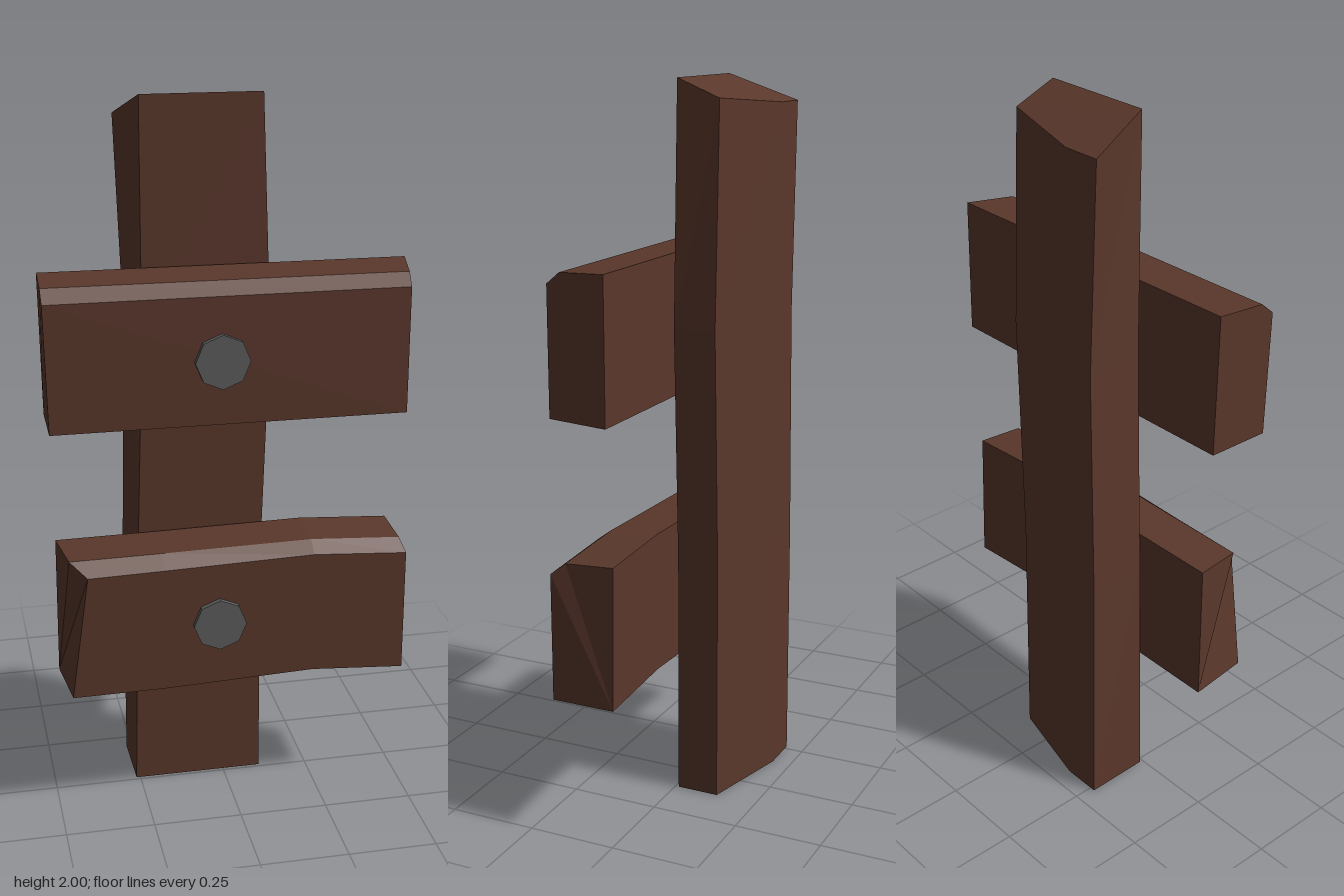
import * as THREE from 'three';

const wood = new THREE.MeshStandardMaterial({ color: 0x5a372b, flatShading: true });
const iron = new THREE.MeshStandardMaterial({ color: 0x5c5c5c, flatShading: true });

// Solid timber through equal-sized rings, each counter-clockwise seen from the far end
function timber(name, rings) {
  const n = rings[0].length;
  const index = [];
  for (let i = 0; i < rings.length - 1; i++) {
    for (let j = 0; j < n; j++) {
      const a = i * n + j, b = i * n + (j + 1) % n;
      index.push(a, b, b + n, a, b + n, a + n);
    }
  }
  const last = (rings.length - 1) * n;
  for (let j = 1; j < n - 1; j++) {
    index.push(0, j + 1, j, last, last + j, last + j + 1);
  }
  const indexed = new THREE.BufferGeometry();
  indexed.setAttribute('position', new THREE.Float32BufferAttribute(rings.flat(2), 3));
  indexed.setIndex(index);
  const geometry = indexed.toNonIndexed();
  geometry.computeVertexNormals();
  const mesh = new THREE.Mesh(geometry, wood);
  mesh.name = name;
  return mesh;
}

// Post ring: front left and right x, back right x, ridge x, back left x; drop slopes the top
function postRing(y, [fl, fr, br, ridge, bl], drop = 0) {
  return [
    [fl, y, -0.01], [fr, y, -0.01], [br, y - drop * 0.7, -0.13],
    [ridge, y - drop, -0.195], [bl, y - drop, -0.195],
  ];
}

// Plank ring from the five x, y, z corners: back bottom, back top, chamfer top, chamfer foot, front bottom
function plankRing(xs, bottom, top, foot) {
  return [
    [xs[0], bottom, 0], [xs[1], top, 0], [xs[2], top - 0.008, 0.14],
    [xs[3], foot, 0.18], [xs[4], bottom, 0.18],
  ];
}

export function createModel() {
  const group = new THREE.Group();
  group.name = 'signpost';

  // Slightly crooked upright
  group.add(timber('post', [
    postRing(0, [-0.262, 0.11, 0.11, -0.155, -0.265]),
    postRing(0.7, [-0.245, 0.11, 0.11, -0.155, -0.262]),
    postRing(1.35, [-0.222, 0.133, 0.133, -0.14, -0.245]),
    postRing(2, [-0.22, 0.11, 0.11, -0.155, -0.265], 0.07),
  ]));

  // Straight upper plank with a slanted right-hand end
  group.add(timber('upperPlank', [
    plankRing([-0.495, -0.5, -0.505, -0.505, -0.498], 1.16, 1.55, 1.508),
    plankRing([0.505, 0.505, 0.475, 0.47, 0.47], 1.16, 1.548, 1.508),
  ]));

  // Bowed lower plank
  group.add(timber('lowerPlank', [
    plankRing([-0.48, -0.477, -0.455, -0.41, -0.46], 0.39, 0.79, 0.745),
    plankRing([-0.2, -0.2, -0.2, -0.2, -0.2], 0.392, 0.793, 0.75),
    plankRing([0.22, 0.22, 0.22, 0.22, 0.22], 0.408, 0.8, 0.762),
    plankRing([0.485, 0.475, 0.475, 0.485, 0.485], 0.39, 0.785, 0.745),
  ]));

  // Octagonal bolt heads
  for (const [name, x, y] of [['upperBolt', -0.04, 1.335], ['lowerBolt', -0.048, 0.58]]) {
    const bolt = new THREE.Mesh(new THREE.CylinderGeometry(0.074, 0.074, 0.03, 8), iron);
    bolt.name = name;
    bolt.rotation.x = Math.PI / 2;
    bolt.position.set(x, y, 0.181);
    group.add(bolt);
  }
  return group;
}
